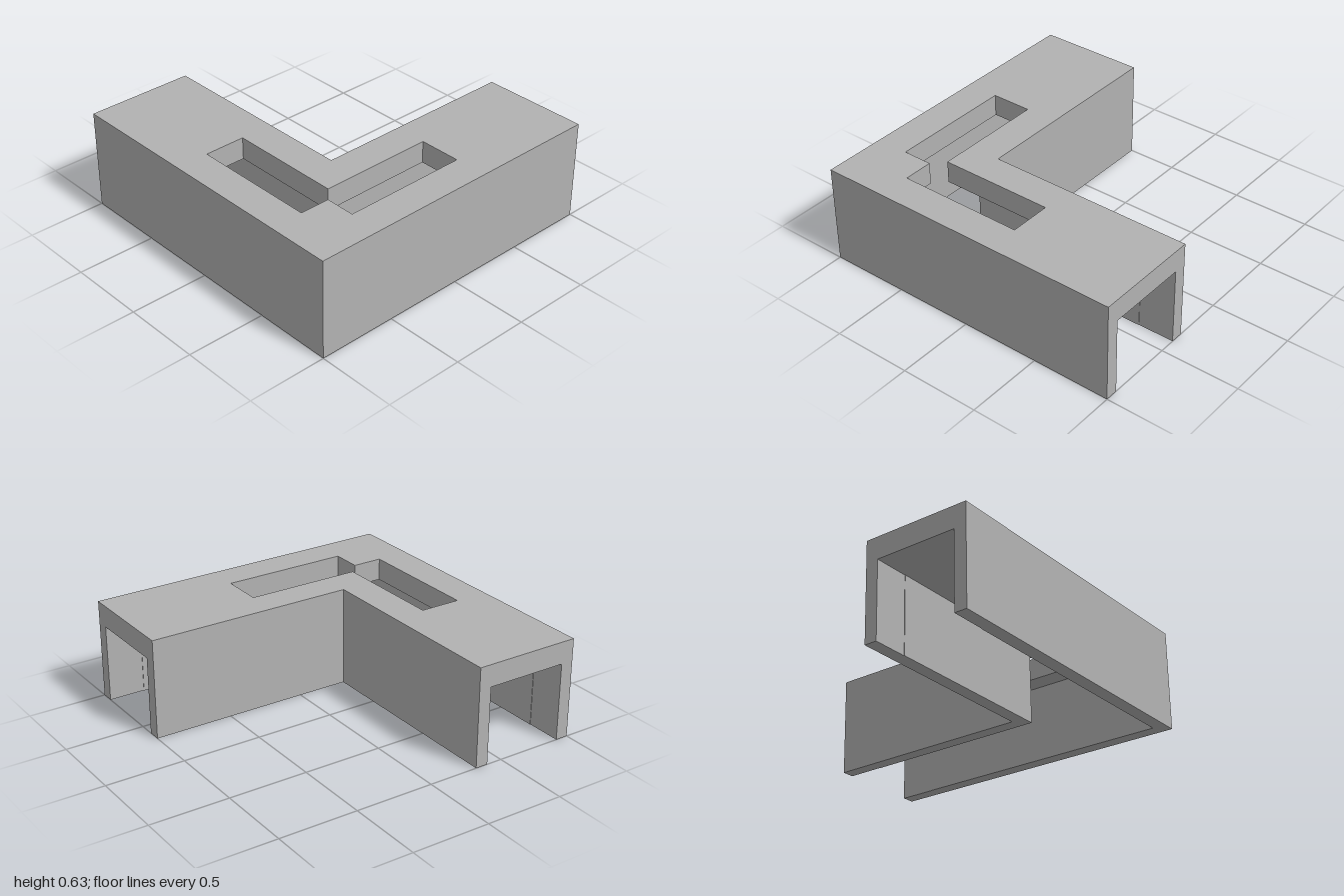
import * as THREE from 'three';

const HEIGHT = 0.63, ROOF_Y = 0.49;   // overall height, underside of the roof
const WALL = 0.08, STEP = 0.003;      // wall thickness, slight thickening away from the open ends
const INNER = 0.32, MOUTH = 0.77;     // inner corner of the L, where the end sockets stop

// Plan points are [x, z]; extrude upward from y0 to y1.
const trace = (target, points) => {
  target.setFromPoints(points.map(([x, z]) => new THREE.Vector2(x, -z)));
  return target;
};

function slab(name, outline, y0, y1, material, hole) {
  const shape = trace(new THREE.Shape(), outline);
  if (hole) shape.holes.push(trace(new THREE.Path(), hole));
  const geometry = new THREE.ExtrudeGeometry(shape, { depth: y1 - y0, bevelEnabled: false });
  geometry.rotateX(-Math.PI / 2);
  geometry.translate(0, y0, 0);
  const mesh = new THREE.Mesh(geometry, material);
  mesh.name = name;
  return mesh;
}

// Complete a half plan by mirroring it across the diagonal of the L.
const mirrored = (half) => [...half, ...half.slice().reverse().map(([x, z]) => [-z, -x])];

export function createModel() {
  const grey = new THREE.MeshStandardMaterial({ color: 0xb2b2b2 });
  grey.name = 'plain grey';
  const group = new THREE.Group();
  group.name = 'cornerChannel';

  // Roof with the angular slot cut through it
  const roof = [[-1, 1], [1, 1], [1, INNER], [-INNER, INNER], [-INNER, -1], [-1, -1]];
  const slot = [
    [-0.79, -0.2], [-0.53, -0.2], [-0.53, 0.525], [0.2, 0.525],
    [0.2, 0.79], [-0.6, 0.79], [-0.6, 0.6], [-0.79, 0.6],
  ];
  group.add(slab('roof', roof, ROOF_Y, HEIGHT, grey, slot));

  // Outer wall, a little thinner at the open ends
  const o = 1 - WALL;
  const outerWall = mirrored([
    [-1, 1], [1, 1], [1, o], [MOUTH, o], [MOUTH, o - STEP], [-o + STEP, o - STEP],
  ]);
  // The diagonal corner points belong to both halves, so drop their repeats
  outerWall.pop();
  outerWall.splice(6, 1);
  group.add(slab('outerWall', outerWall, 0, ROOF_Y, grey));

  // Inner wall around the inside corner
  const i = INNER + WALL;
  const innerWall = mirrored([
    [-INNER, INNER], [1, INNER], [1, i], [MOUTH, i], [MOUTH, i + STEP], [-i - STEP, i + STEP],
  ]);
  innerWall.pop();
  innerWall.splice(6, 1);
  group.add(slab('innerWall', innerWall, 0, ROOF_Y, grey));

  return group;
}
